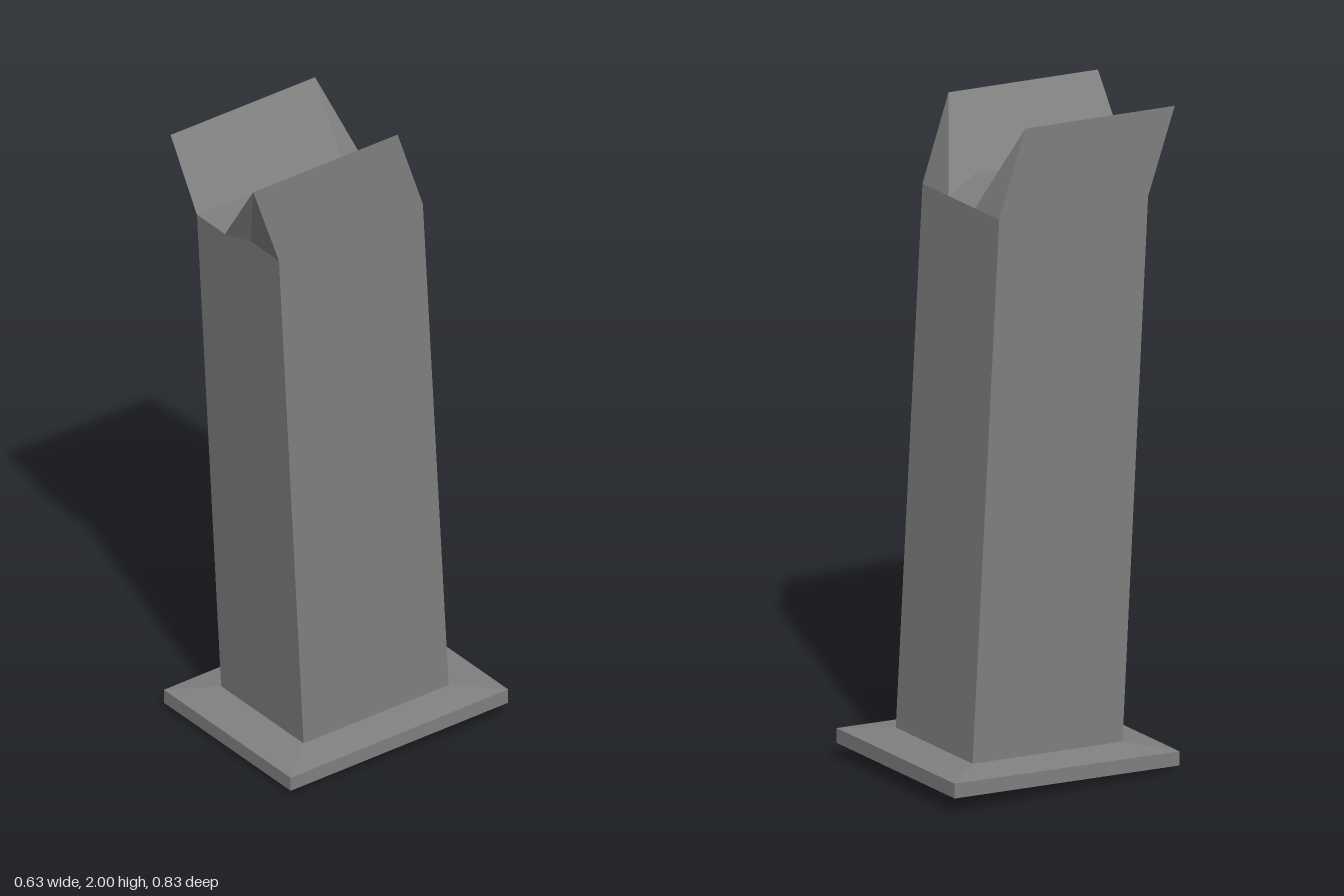
import * as THREE from 'three';

// Skin a list of equal-sized point rings and close both ends with fans.
function loft(name, rings, material) {
  const pos = [];
  const tri = (...pts) => pts.forEach((p) => pos.push(...p));
  const dist = (p, q) => Math.hypot(p[0] - q[0], p[1] - q[1], p[2] - q[2]);
  const n = rings[0].length;
  for (let i = 0; i < rings.length - 1; i++) {
    for (let j = 0; j < n; j++) {
      const k = (j + 1) % n;
      const a = rings[i][j], b = rings[i][k], c = rings[i + 1][k], d = rings[i + 1][j];
      // split each quad along its longer diagonal
      if (dist(a, c) >= dist(b, d)) { tri(a, d, c); tri(a, c, b); }
      else { tri(a, d, b); tri(d, c, b); }
    }
  }
  const first = rings[0], last = rings[rings.length - 1];
  for (let j = 1; j < n - 1; j++) {
    tri(first[0], first[j], first[j + 1]);
    tri(last[0], last[j + 1], last[j]);
  }
  const geometry = new THREE.BufferGeometry();
  geometry.setAttribute('position', new THREE.Float32BufferAttribute(pos, 3));
  geometry.computeVertexNormals();
  const mesh = new THREE.Mesh(geometry, material);
  mesh.name = name;
  return mesh;
}

export function createModel() {
  const group = new THREE.Group();
  group.name = 'notchedPost';
  const material = new THREE.MeshStandardMaterial({ color: 0x808080, flatShading: true });

  // Tilted base plate: rectangles of half width w, front and back edges as (y, z)
  const rect = (w, yf, zf, yb, zb) => [[-w, yf, zf], [-w, yb, zb], [w, yb, zb], [w, yf, zf]];
  group.add(loft('basePlate', [
    rect(0.21, 0.0, 0.2, 0.025, -0.24),
    rect(0.315, 0.013, 0.36, 0.047, -0.415),
    rect(0.315, 0.056, 0.36, 0.092, -0.415),
    rect(0.205, 0.078, 0.235, 0.1, -0.282),
  ], material));

  // Leaning post: side profiles swept across x; the outer ones rise into horns,
  // the inner ones form the notch floor
  const profile = (x, yFront, yBack) => [
    [x, 1.72, 0.323], [x, yFront, 0.415], [x, yBack, -0.1],
    [x, 1.738, -0.19], [x, 0.1, -0.282], [x, 0.078, 0.235],
  ];
  group.add(loft('post', [
    profile(-0.205, 1.98, 2.0),
    profile(-0.075, 1.775, 1.79),
    profile(0.065, 1.775, 1.79),
    profile(0.205, 1.98, 2.0),
  ], material));

  return group;
}
